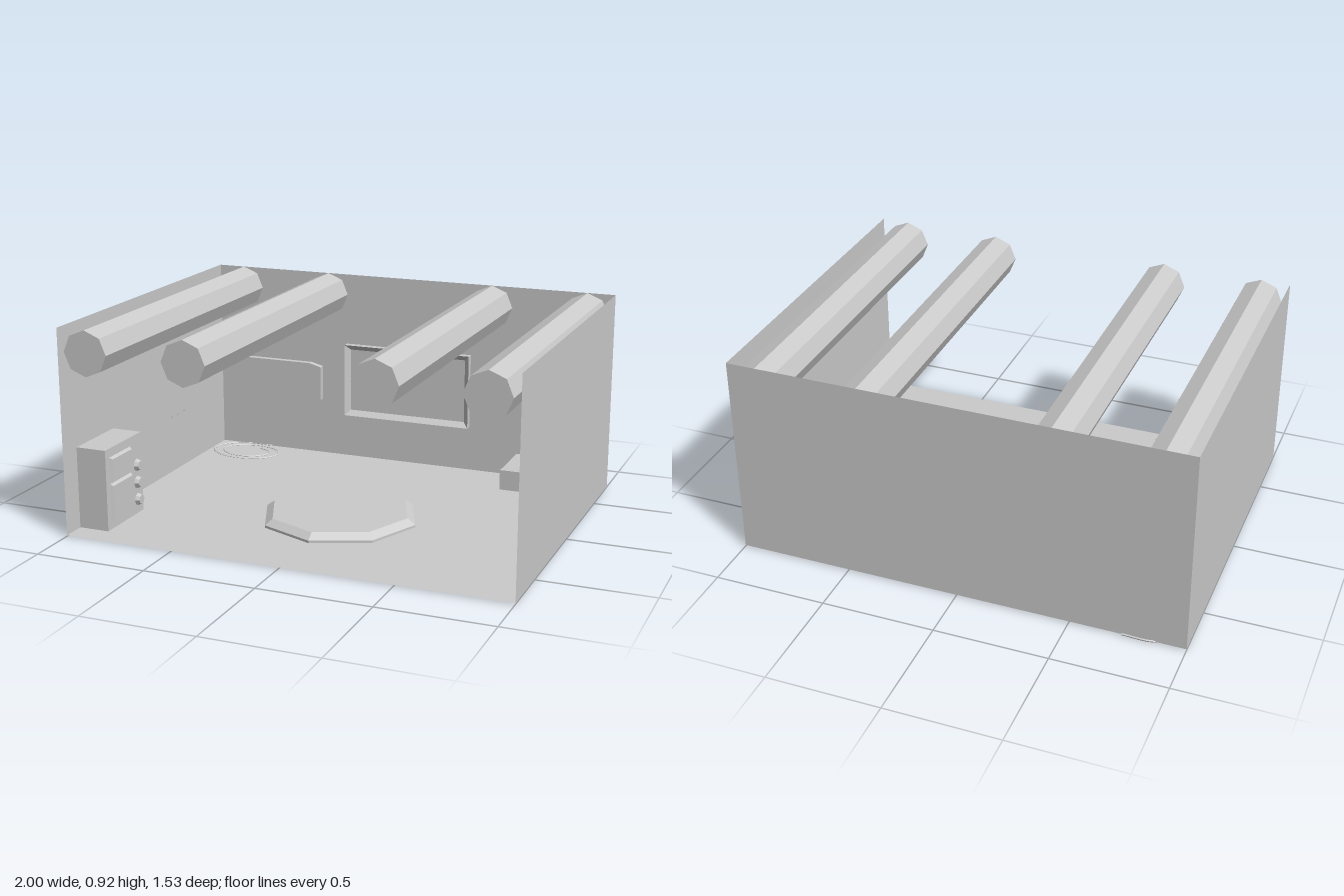
import * as THREE from 'three';

const mat = new THREE.MeshStandardMaterial({ color: 0xcccccc, flatShading: true, side: THREE.DoubleSide });
const BACK = -0.755, FRONT = 0.77, FLOOR = 0.005, TOP = 0.92;

export function createModel() {
  const room = new THREE.Group();
  room.name = 'room';

  const add = (name, geo, x = 0, y = 0, z = 0, parent = room) => {
    const m = new THREE.Mesh(geo, mat);
    m.name = name;
    m.position.set(x, y, z);
    parent.add(m);
    return m;
  };
  // Box given by its min and max corners
  const box = (name, a, b, parent) => add(name,
    new THREE.BoxGeometry(b[0] - a[0], b[1] - a[1], b[2] - a[2]),
    (a[0] + b[0]) / 2, (a[1] + b[1]) / 2, (a[2] + b[2]) / 2, parent);
  // Rectangle narrowing towards its outer face (+z)
  const taperedBox = (w, h, d, inset) => {
    const g = new THREE.BoxGeometry(w, h, d).toNonIndexed();
    const p = g.attributes.position;
    for (let i = 0; i < p.count; i++) {
      if (p.getZ(i) > 0) {
        p.setX(i, p.getX(i) - Math.sign(p.getX(i)) * inset);
        p.setY(i, p.getY(i) - Math.sign(p.getY(i)) * inset);
      }
    }
    g.computeVertexNormals();
    return g;
  };

  // Room shell: floor, back and side walls, open in front and above
  const depth = FRONT - BACK, midZ = (FRONT + BACK) / 2;
  const height = TOP - FLOOR, midY = (TOP + FLOOR) / 2;
  add('floor', new THREE.PlaneGeometry(2, depth), 0, FLOOR, midZ).rotation.x = -Math.PI / 2;
  add('backWall', new THREE.PlaneGeometry(2, height), 0, midY, BACK);
  for (const s of [-1, 1]) {
    add(s > 0 ? 'leftWall' : 'rightWall', new THREE.PlaneGeometry(depth, height), s, midY, midZ)
      .rotation.y = -s * Math.PI / 2;
  }

  // Octagonal ceiling beams running front to back
  for (const x of [-0.87, -0.415, 0.415, 0.87]) {
    add('ceilingBeam', new THREE.CylinderGeometry(0.1, 0.1, depth, 8), x, 0.82, midZ)
      .rotation.x = Math.PI / 2;
  }

  // Wall plates with clipped corners, either side of the screen
  const w = 0.2475, h = 0.1, cx = 0.06, cy = 0.016;
  const plate = new THREE.Shape([
    [-w, -h + cy], [-w + cx, -h], [w - cx, -h], [w, -h + cy],
    [w, h - cy], [w - cx, h], [-w + cx, h], [-w, h - cy],
  ].map(([x, y]) => new THREE.Vector2(x, y)));
  for (const s of [-1, 1]) {
    add('wallPlate', new THREE.ExtrudeGeometry(plate, { depth: 0.03, bevelEnabled: false }),
      s * 0.695, 0.366, BACK);
  }

  // Screen: a frame whose inner edge slopes back to a recessed pane
  const screen = new THREE.Group();
  screen.name = 'screen';
  screen.position.set(0, 0.398, BACK);
  room.add(screen);
  const rings = [[0.318, 0.178, 0], [0.318, 0.178, 0.035], [0.293, 0.153, 0.012]];
  const verts = [], faces = [];
  for (const [x, y, z] of rings) verts.push(-x, -y, z, x, -y, z, x, y, z, -x, y, z);
  for (let r = 0; r < 2; r++) {
    for (let i = 0; i < 4; i++) {
      const a = r * 4 + i, b = r * 4 + (i + 1) % 4;
      faces.push(a, b, b + 4, a, b + 4, a + 4);
    }
  }
  const frame = new THREE.BufferGeometry();
  frame.setAttribute('position', new THREE.Float32BufferAttribute(verts, 3));
  frame.setIndex(faces);
  const flatFrame = frame.toNonIndexed();
  flatFrame.computeVertexNormals();
  add('screenFrame', flatFrame, 0, 0, 0, screen);
  add('screenPane', new THREE.PlaneGeometry(0.586, 0.306), 0, 0, 0.012, screen);

  // Octagonal floor platform with a sloped rim
  const rim = [[0.355, 0], [0.355, 0.012], [0.319, 0.038], [0, 0.038]];
  add('platform', new THREE.LatheGeometry(rim.map(([x, y]) => new THREE.Vector2(x, y)), 8),
    0, FLOOR - 0.001, 0.113);

  // Low chest against the back wall, its lid bevelled
  box('chestBody', [0.545, FLOOR, BACK], [0.89, 0.1, -0.52]);
  add('chestLid', taperedBox(0.345, 0.235, 0.018, 0.017), 0.7175, 0.109, -0.6375)
    .rotation.x = -Math.PI / 2;

  // Cabinet by the right wall, its door facing into the room
  const cabinet = new THREE.Group();
  cabinet.name = 'cabinet';
  room.add(cabinet);
  box('cabinetBody', [-1, 0.002, 0.35], [-0.86, 0.37, 0.66], cabinet);
  for (const [y, ph] of [[0.275, 0.11], [0.125, 0.17]]) {
    add('cabinetPanel', taperedBox(0.18, ph, 0.014, 0.008), -0.853, y, 0.54, cabinet)
      .rotation.y = Math.PI / 2;
  }
  for (const y of [0.07, 0.15, 0.23]) {
    add('cabinetKnob', new THREE.CylinderGeometry(0.022, 0.028, 0.02, 8), -0.85, y, 0.395, cabinet)
      .rotation.z = -Math.PI / 2;
  }

  // Large board on the left wall and small panel on the right wall
  add('wallBoard', taperedBox(1.2, 0.6, 0.01, 0.01), 0.995, 0.39, 0).rotation.y = -Math.PI / 2;
  add('switchPanel', taperedBox(0.18, 0.2, 0.006, 0.004), -0.997, 0.375, -0.26).rotation.y = Math.PI / 2;

  // Loose cable coiled on the floor in the back corner
  const coil = [];
  for (let i = 0; i <= 18; i++) {
    const t = i / 18, a = -1.2 + t * Math.PI * 4;
    coil.push(new THREE.Vector3(
      -0.8 + Math.cos(a) * (0.1 + 0.1 * t), FLOOR, -0.625 + Math.sin(a) * (0.07 + 0.07 * t)));
  }
  add('floorCable', new THREE.TubeGeometry(new THREE.CatmullRomCurve3(coil), 60, 0.005, 5));

  return room;
}
